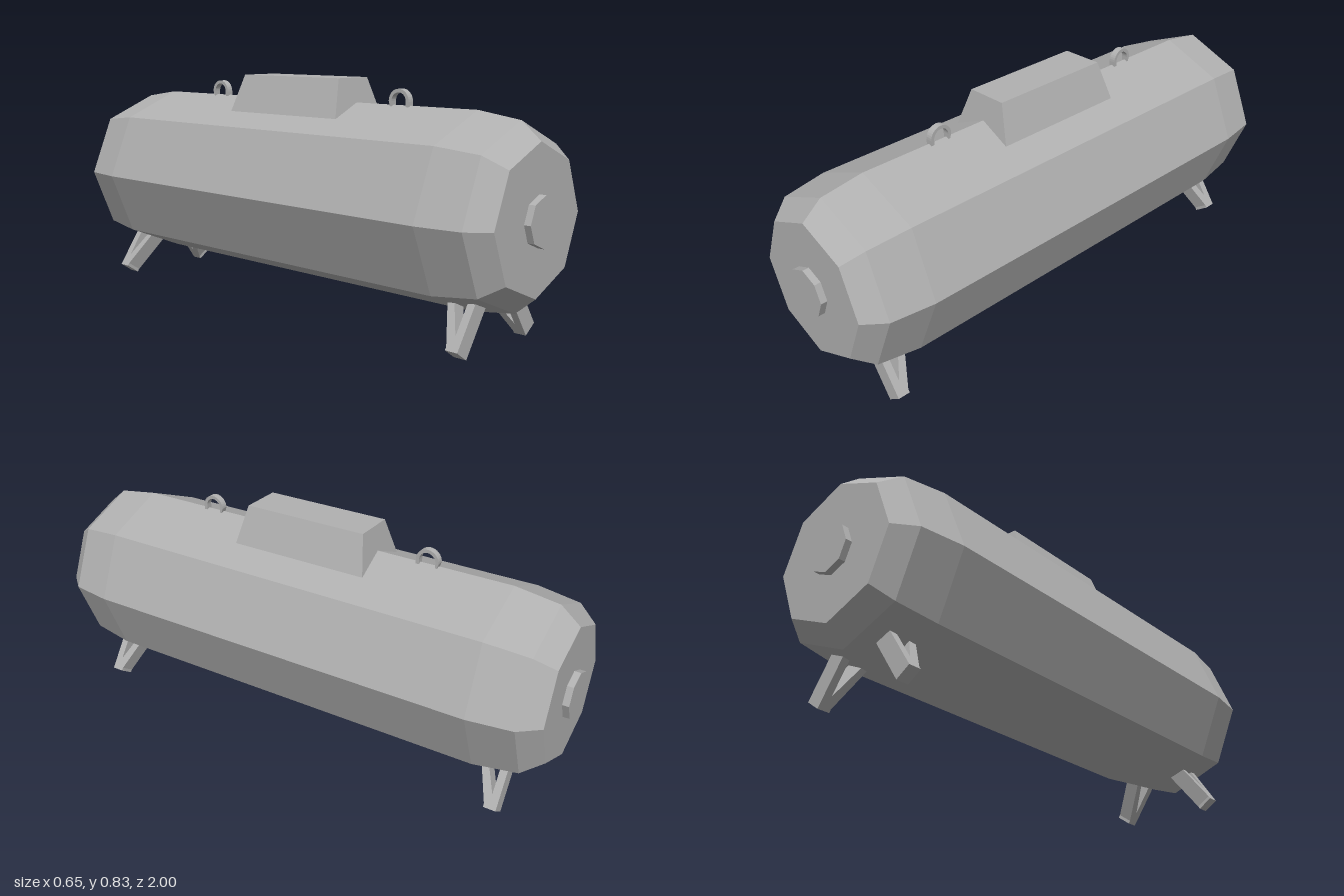
import * as THREE from 'three';

const CY = 0.425; // height of the tank axis

export function createModel() {
  const model = new THREE.Group();
  const grey = new THREE.MeshStandardMaterial({ color: 0xb0b0b0, flatShading: true });
  grey.name = 'grey metal';
  const add = (name, geometry) => {
    const mesh = new THREE.Mesh(geometry, grey);
    mesh.name = name;
    model.add(mesh);
    return mesh;
  };

  // Eight-sided tank with two-step tapered ends
  const half = [[0.243, 0.977], [0.302, 0.907], [0.325, 0.75]];
  const profile = [
    [0, -0.977], ...half.map(([r, z]) => [r, -z]),
    ...half.slice().reverse(), [0, 0.977],
  ].map(([r, z]) => new THREE.Vector2(r, z));
  add('tank', new THREE.LatheGeometry(profile, 8).rotateX(Math.PI / 2)).position.y = CY;

  // Tapered housing on top
  const housing = new THREE.BoxGeometry(0.244, 0.135, 0.524);
  const p = housing.attributes.position;
  for (let i = 0; i < p.count; i++) {
    if (p.getY(i) > 0) p.setXYZ(i, p.getX(i) * 0.615, p.getY(i), p.getZ(i) * 0.895);
  }
  add('topHousing', housing).position.y = 0.7675;

  // Arched lifting lug, reaching slightly into the tank
  const arch = new THREE.Shape();
  arch.moveTo(0.042, -0.04);
  arch.absarc(0, 0, 0.042, 0, Math.PI, false);
  arch.lineTo(-0.042, -0.04);
  arch.lineTo(-0.03, -0.04);
  arch.absarc(0, 0, 0.03, Math.PI, 0, true);
  arch.lineTo(0.03, -0.04);
  const lug = new THREE.ExtrudeGeometry(arch, { depth: 0.024, bevelEnabled: false, curveSegments: 8 });
  lug.translate(0, 0, -0.012).rotateY(Math.PI / 2);

  // V-shaped leg bracket: distance along the tank, distance up the leg
  const bracket = [[0.847, 0], [0.847, 0.19], [0.82, 0.19], [0.82, 0.05],
    [0.757, 0.19], [0.733, 0.19], [0.802, 0.012], [0.802, 0]];

  for (const end of [1, -1]) {
    const side = end > 0 ? 'front' : 'back';
    add(side + 'Plug', new THREE.CylinderGeometry(0.083, 0.083, 0.04, 8).rotateX(Math.PI / 2))
      .position.set(0, CY, end * 0.98);
    add(side + 'LiftingLug', lug).position.set(0, 0.763, end * 0.445);

    for (const x of [1, -1]) {
      const shape = new THREE.Shape(bracket.map(([z, s]) => new THREE.Vector2(z * end, s)));
      const leg = new THREE.ExtrudeGeometry(shape, { depth: 0.06, bevelEnabled: false });
      leg.translate(0, 0, -0.03);
      // Splay the leg outwards from the tank
      const along = new THREE.Vector3(0, 0, 1);
      const up = new THREE.Vector3(-0.563 * x, 0.826, 0).normalize();
      const across = along.clone().cross(up);
      leg.applyMatrix4(new THREE.Matrix4().makeBasis(along, up, across));
      add(side + (x > 0 ? 'LeftLeg' : 'RightLeg'), leg).position.set(x * 0.197, 0.017, 0);
    }
  }
  return model;
}
